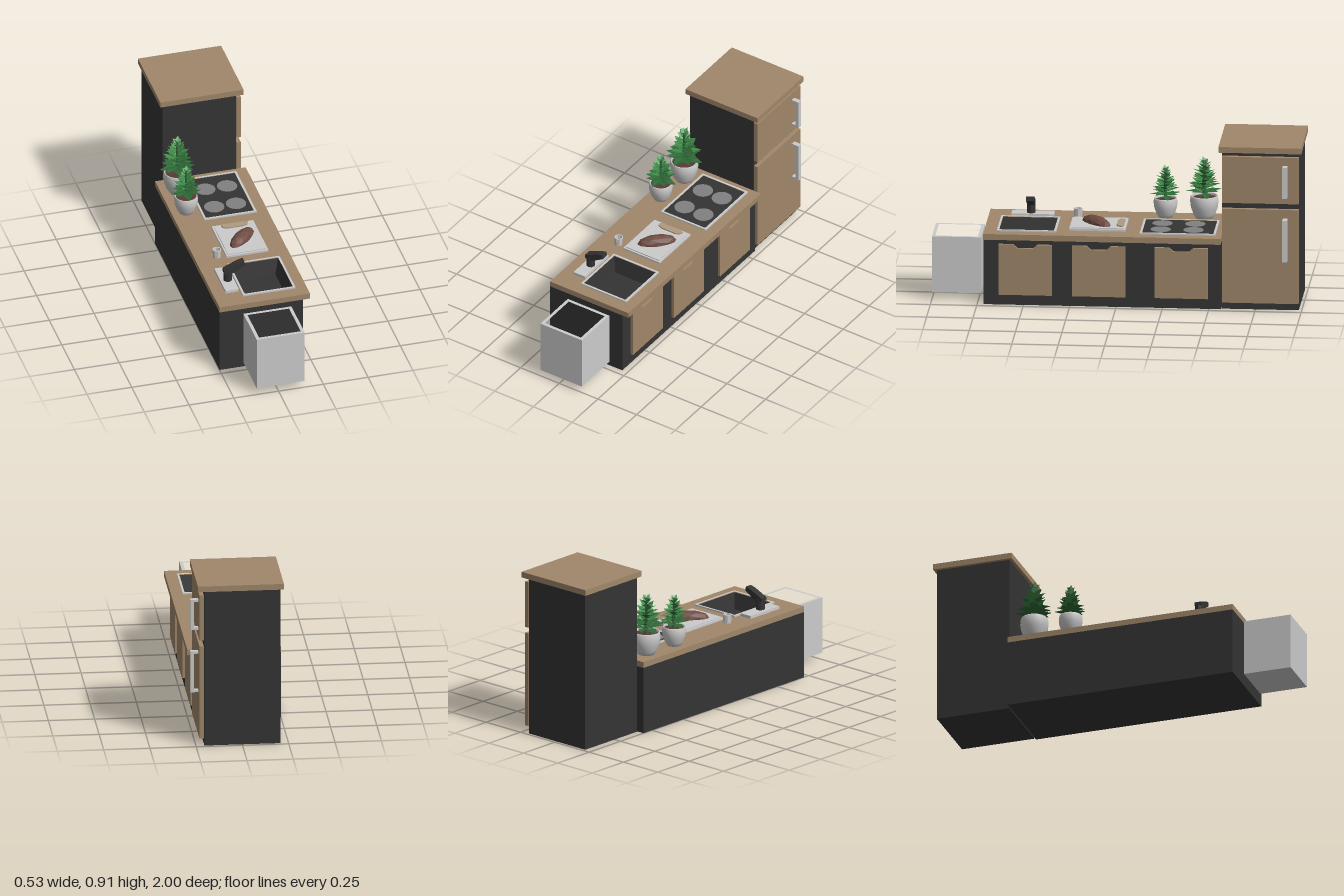
import * as THREE from 'three';
import { mergeGeometries } from 'three/addons/utils/BufferGeometryUtils.js';

const mat = (color, extra = {}) => new THREE.MeshStandardMaterial({ color, ...extra });
const wood = mat(0xa0876a), dark = mat(0x343434), grey = mat(0xcccccc);
const flatGrey = mat(0xcccccc, { flatShading: true, side: THREE.DoubleSide });
const smoothGrey = mat(0xcccccc, { side: THREE.DoubleSide });
const flatDark = mat(0x343434, { flatShading: true, side: THREE.DoubleSide });
const soilBrown = mat(0x5a3a34);
const loafBrown = mat(0x6e4c42, { flatShading: true });
const leafTones = [0x2f6b38, 0x3f8a48, 0x6fb878].map(c => mat(c, { side: THREE.DoubleSide, flatShading: true }));

function add(parent, name, geometry, material, x = 0, y = 0, z = 0) {
  const mesh = new THREE.Mesh(geometry, material);
  mesh.name = name;
  mesh.position.set(x, y, z);
  parent.add(mesh);
  return mesh;
}

// Box given by its limits on each axis
function block(parent, name, material, x0, x1, y0, y1, z0, z1) {
  return add(parent, name, new THREE.BoxGeometry(x1 - x0, y1 - y0, z1 - z0), material,
    (x0 + x1) / 2, (y0 + y1) / 2, (z0 + z1) / 2);
}

const corners = (x0, x1, z0, z1) =>
  [[x0, -z0], [x1, -z0], [x1, -z1], [x0, -z1]].map(p => new THREE.Vector2(...p));

// Horizontal slab with a rectangular hole; rects are [x0, x1, z0, z1]
function frame(parent, name, material, rect, hole, y0, y1) {
  const shape = new THREE.Shape(corners(...rect));
  shape.holes.push(new THREE.Path(corners(...hole)));
  const g = new THREE.ExtrudeGeometry(shape, { depth: y1 - y0, bevelEnabled: false });
  return add(parent, name, g.rotateX(-Math.PI / 2), material, 0, y0, 0);
}

// Flat outline in x and y, extruded along z and centred there
function profile(points, depth) {
  const shape = new THREE.Shape(points.map(p => new THREE.Vector2(...p)));
  return new THREE.ExtrudeGeometry(shape, { depth, bevelEnabled: false }).translate(0, 0, -depth / 2);
}

// Pointed leaf with a folded midrib, growing along +z
function leaf(length, width, lift, turn) {
  const m = length * 0.5, f = width * 0.25;
  const a = [0, 0, 0], l = [-width, f, m], r = [width, f, m], c = [0, 0, m * 1.1], t = [0, -f * 0.4, length];
  const g = new THREE.BufferGeometry();
  g.setAttribute('position', new THREE.Float32BufferAttribute(
    [a, l, c, a, c, r, l, t, c, c, t, r].flat(), 3));
  g.computeVertexNormals();
  return g.rotateX(-lift).rotateY(turn);
}

function plant(name, x, z, s) {
  const g = new THREE.Group();
  g.name = name;
  const pot = [[0, 0], [0.045, 0], [0.06, 0.025], [0.073, 0.065], [0.077, 0.095], [0.074, 0.122],
    [0.07, 0.128], [0.065, 0.122], [0.066, 0.105]];
  add(g, 'pot', new THREE.LatheGeometry(pot.map(p => new THREE.Vector2(...p)), 24), smoothGrey);
  add(g, 'soil', new THREE.CylinderGeometry(0.067, 0.06, 0.01, 20), soilBrown, 0, 0.108, 0);
  add(g, 'stem', new THREE.CylinderGeometry(0.006, 0.012, 0.2, 6), leafTones[0], 0, 0.2, 0);
  // Whorls of leaves, shorter and steeper towards the top
  const layers = 9, tones = [[], [], []];
  for (let i = 0; i < layers; i++) {
    const t = i / (layers - 1), count = 7 - Math.floor(t * 2.5);
    for (let k = 0; k < count; k++) {
      const lift = 0.1 + t * 0.9 + 0.15 * Math.sin(k * 2.3 + i);
      const length = (0.1 - 0.055 * t) * (1 + 0.08 * Math.sin(k * 3.7 + i * 1.9));
      const turn = (k / count) * Math.PI * 2 + i * 0.65;
      const tone = Math.min(2, Math.floor(t * 2 + (k % 2) * 0.7));
      tones[tone].push(leaf(length, 0.029 - 0.013 * t, lift, turn).translate(0, 0.142 + t * 0.155, 0));
    }
  }
  tones.forEach((list, i) => add(g, 'leaves' + (i + 1), mergeGeometries(list), leafTones[i]));
  g.position.set(x, 0.402, z);
  g.scale.setScalar(s);
  return g;
}

export function createModel() {
  const model = new THREE.Group();
  model.name = 'kitchen';

  // Counter with an opening for the sink
  const cut = [-0.09, 0.186, 0.334, 0.637];
  block(model, 'counterBody', dark, -0.25, 0.217, 0, 0.31, -0.566, 0.715);
  frame(model, 'counterUpperBody', dark, [-0.25, 0.217, -0.566, 0.715], cut, 0.31, 0.37);
  frame(model, 'worktop', wood, [-0.25, 0.256, -0.566, 0.715], cut, 0.37, 0.402);

  // Doors with a notched finger grip
  const door = profile([[-0.144, 0.058], [0.144, 0.058], [0.144, 0.339], [0.065, 0.339], [0.042, 0.318],
    [-0.042, 0.318], [-0.065, 0.339], [-0.144, 0.339]], 0.015).rotateY(Math.PI / 2);
  for (const z of [0.49, 0.094, -0.351]) add(model, 'counterDoor', door, wood, 0.2245, 0, z);

  // Fridge
  const fridge = new THREE.Group();
  fridge.name = 'fridge';
  model.add(fridge);
  block(fridge, 'fridgeBody', dark, -0.207, 0.204, 0, 0.88, -0.984, -0.571);
  block(fridge, 'fridgeTop', wood, -0.224, 0.241, 0.88, 0.912, -1, -0.553);
  block(fridge, 'lowerDoor', wood, 0.207, 0.231, 0.041, 0.565, -0.984, -0.571);
  block(fridge, 'upperDoor', wood, 0.207, 0.231, 0.598, 0.856, -0.984, -0.571);
  for (const [y0, y1] of [[0.285, 0.517], [0.64, 0.812]]) {
    const c = [[0.231, y0], [0.275, y0], [0.275, y1], [0.231, y1], [0.231, y1 - 0.013],
      [0.254, y1 - 0.013], [0.254, y0 + 0.013], [0.231, y0 + 0.013]];
    add(fridge, 'doorHandle', profile(c, 0.026), grey, 0, 0, -0.913);
  }

  // Open bin
  const bin = new THREE.Group();
  bin.name = 'bin';
  model.add(bin);
  frame(bin, 'binWalls', grey, [-0.122, 0.146, 0.735, 1], [-0.104, 0.128, 0.753, 0.982], 0.04, 0.352);
  block(bin, 'binFloor', grey, -0.104, 0.128, 0.04, 0.056, 0.753, 0.982);

  // Sink: rim and tapered basin
  const sink = new THREE.Group();
  sink.name = 'sink';
  model.add(sink);
  frame(sink, 'sinkRim', grey, [-0.098, 0.194, 0.326, 0.645], [-0.086, 0.182, 0.338, 0.633], 0.402, 0.41);
  const basin = [[0, 0], [0.84, 0], [1, 0.087]].map(([r, y]) => new THREE.Vector2(r * Math.SQRT2, y));
  const basinMesh = add(sink, 'basin', new THREE.LatheGeometry(basin, 4).rotateY(Math.PI / 4), flatDark,
    0.048, 0.318, 0.4855);
  basinMesh.scale.set(0.135, 1, 0.148);

  // Tap on its plate
  const tap = new THREE.Group();
  tap.name = 'tap';
  model.add(tap);
  block(tap, 'tapPlate', grey, -0.181, -0.108, 0.402, 0.418, 0.363, 0.592);
  add(tap, 'tapColumn', new THREE.CylinderGeometry(0.024, 0.024, 0.065, 8), flatDark, -0.14, 0.449, 0.487);
  const spout = [[-0.164, 0.468], [-0.117, 0.466], [-0.048, 0.507], [-0.052, 0.531], [-0.085, 0.522], [-0.164, 0.487]];
  add(tap, 'tapSpout', profile(spout, 0.04), dark, 0, 0, 0.487);

  // Cooktop with four rings
  const hob = new THREE.Group();
  hob.name = 'cooktop';
  model.add(hob);
  frame(hob, 'cooktopRim', grey, [-0.098, 0.194, -0.533, -0.125], [-0.086, 0.182, -0.521, -0.137], 0.402, 0.41);
  block(hob, 'cooktopPlate', dark, -0.086, 0.182, 0.4, 0.407, -0.521, -0.137);
  const ring = new THREE.CylinderGeometry(0.055, 0.055, 0.003, 20);
  const ringGrey = mat(0x808080);
  for (const x of [-0.014, 0.108]) for (const z of [-0.408, -0.231])
    add(hob, 'cookingRing', ring, ringGrey, x, 0.408, z);

  // Cutting board with a raised centre
  const board = new THREE.Group();
  board.name = 'cuttingBoard';
  model.add(board);
  block(board, 'boardBase', grey, -0.082, 0.151, 0.402, 0.413, -0.043, 0.259);
  block(board, 'boardCentre', grey, -0.072, 0.141, 0.413, 0.418, -0.033, 0.249);

  // Loaf with a flat underside
  const loaf = new THREE.IcosahedronGeometry(1, 1);
  const p = loaf.attributes.position;
  for (let i = 0; i < p.count; i++) p.setY(i, Math.max(p.getY(i), 0));
  loaf.scale(0.108, 0.042, 0.044).rotateY(Math.PI / 4);
  add(board, 'loaf', loaf, loafBrown, 0.042, 0.417, 0.12);

  // Slice beside the loaf
  const slice = profile([[-0.075, 0.012], [-0.06, 0.02], [0.06, 0.02], [0.075, 0.012], [0.068, -0.008],
    [0.045, -0.018], [-0.045, -0.018], [-0.068, -0.008]], 0.007).rotateX(-Math.PI / 2);
  add(board, 'slice', slice, mat(0xb09a80), 0.04, 0.421, -0.01);

  // Open cup
  const cup = [[0, 0], [0.021, 0], [0.024, 0.048], [0.019, 0.048], [0.017, 0.008], [0, 0.008]];
  add(model, 'cup', new THREE.LatheGeometry(cup.map(c => new THREE.Vector2(...c)), 8), flatGrey, -0.13, 0.402, 0.233);

  model.add(plant('largePlant', -0.16, -0.445, 1), plant('smallPlant', -0.17, -0.235, 0.84));
  return model;
}
